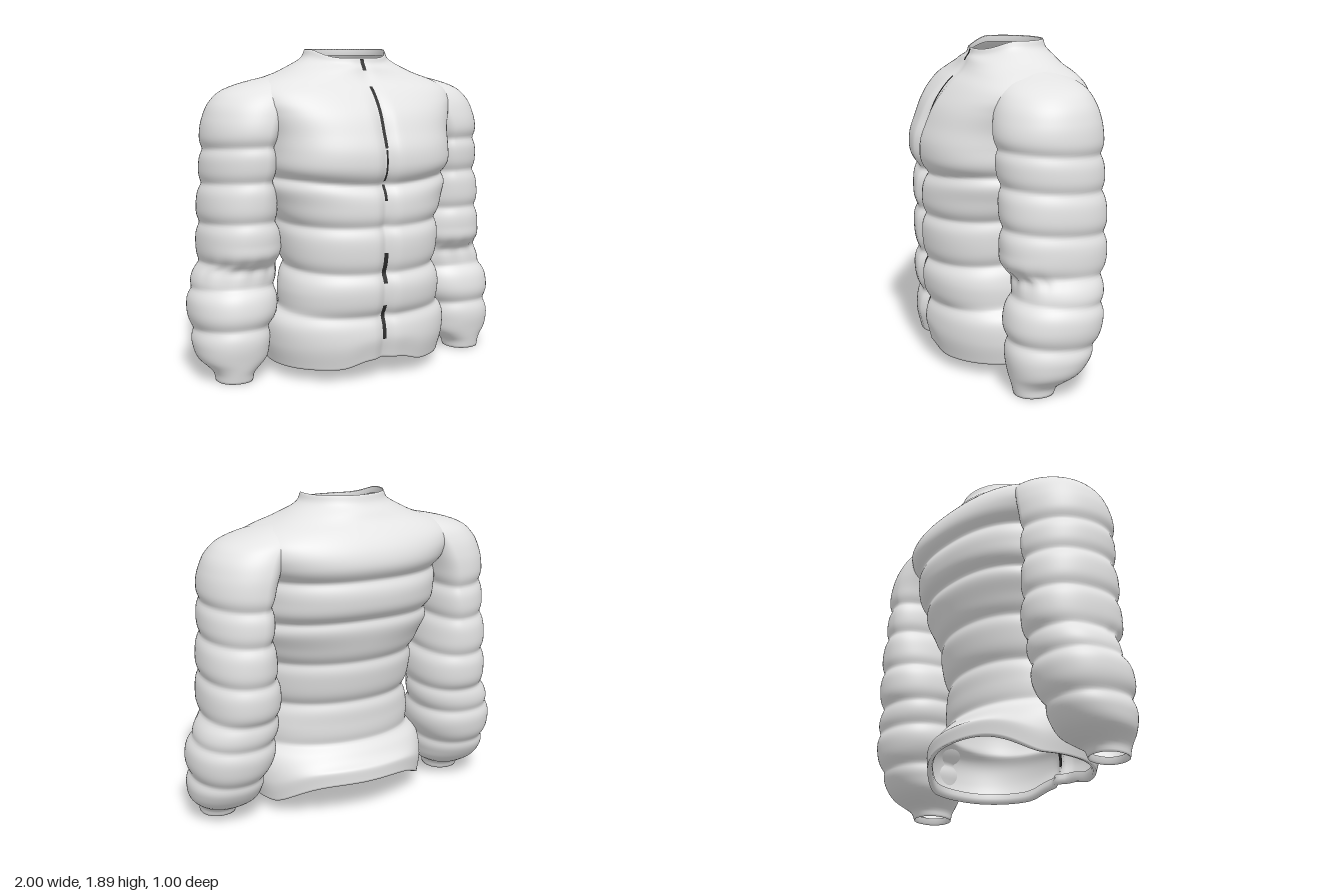
import * as THREE from 'three';

const fabric = new THREE.MeshStandardMaterial({ color: 0xe4e4e4, side: THREE.DoubleSide });
fabric.name = 'light grey fabric';
const dark = new THREE.MeshStandardMaterial({ color: 0x2c2c2c, side: THREE.DoubleSide });
dark.name = 'dark zipper';

// Smooth interpolation of sections: [y, a, b, c, ...]
function profile(keys) {
  const size = keys[0].length - 1;
  return new THREE.CubicInterpolant(
    new Float32Array(keys.map(k => k[0])),
    new Float32Array(keys.flatMap(k => k.slice(1))), size);
}

function surface(pos, index) {
  const g = new THREE.BufferGeometry();
  g.setAttribute('position', new THREE.Float32BufferAttribute(pos, 3));
  g.setIndex(index);
  g.computeVertexNormals();
  return g;
}

// Skin a surface through rows of points; point(row, angle) gives [x, y, z]
function loft(rows, segments, point) {
  const pos = [], index = [];
  rows.forEach((row, i) => {
    for (let j = 0; j < segments; j++) {
      pos.push(...point(row, (j / segments) * Math.PI * 2));
      if (i === 0) continue;
      const k = (j + 1) % segments, lo = (i - 1) * segments, hi = i * segments;
      index.push(lo + j, lo + k, hi + k, lo + j, hi + k, hi + j);
    }
  });
  return surface(pos, index);
}

// Rows [y, inset] from bottom to top, with turned-in edges at both ends
function rowsBetween(y0, y1, count, startRim, endRim) {
  const rows = [...startRim];
  for (let i = 0; i <= count; i++) rows.push([y0 + (y1 - y0) * i / count, 0]);
  return rows.concat(endRim);
}

const crease = (d, width) => Math.exp(-Math.pow(Math.abs(d) / width, 1.5));
const smooth = THREE.MathUtils.smoothstep;

// Rounded-square radius for an angle
const squircle = (s, c, n) => Math.pow(Math.abs(s) ** n + Math.abs(c) ** n, -1 / n);

// Torso: y, half width, front z, back z
const torsoShape = profile([
  [0.07, 0.535, 0.445, -0.40], [0.2, 0.562, 0.472, -0.395], [0.35, 0.55, 0.468, -0.33],
  [0.42, 0.508, 0.478, -0.295], [0.52, 0.498, 0.488, -0.285], [0.65, 0.482, 0.482, -0.298],
  [0.78, 0.492, 0.49, -0.325], [0.9, 0.505, 0.49, -0.352], [1.02, 0.532, 0.487, -0.385],
  [1.12, 0.565, 0.482, -0.42], [1.25, 0.575, 0.497, -0.465], [1.33, 0.575, 0.49, -0.478],
  [1.42, 0.585, 0.457, -0.485], [1.53, 0.625, 0.405, -0.503], [1.6, 0.65, 0.352, -0.487],
  [1.66, 0.635, 0.295, -0.452], [1.71, 0.555, 0.235, -0.407], [1.75, 0.437, 0.205, -0.362],
  [1.8, 0.335, 0.185, -0.325], [1.84, 0.27, 0.172, -0.29], [1.89, 0.245, 0.16, -0.272],
]);
const frontSeams = [0.37, 0.62, 0.89, 1.13, 1.45];
const backSeams = [0.41, 0.67, 0.93, 1.2, 1.44];

function torsoPoint([y, inset], angle) {
  const [halfWidth, front, back] = torsoShape.evaluate(y);
  const s = Math.sin(angle), c = Math.cos(angle);
  const toBack = (1 - c) / 2;
  let dip = inset;
  frontSeams.forEach((f, i) => {
    const chestRise = i === 3 && c > 0 ? 0.05 * s * s * c : 0;
    const seam = f + (backSeams[i] - f) * toBack + chestRise;
    const depth = i === 4 ? 0.032 * smooth(toBack, 0.55, 0.8) : i === 3 ? 0.036 : 0.026;
    dip += depth * crease(y - seam, 0.04);
  });
  // Round waist and collar, squarer chest and shoulder blades
  const chest = smooth(y, 1.0, 1.25) * (1 - smooth(y, 1.72, 1.83));
  const r = squircle(s, c, c > 0 ? 2.3 + 0.35 * chest - 0.25 * smooth(y, 1.72, 1.83) : 2.05 + 0.3 * chest);
  const mid = (front + back) / 2, depth = (front - back) / 2;
  const x = (halfWidth - dip) * s * r;
  let z = mid + (depth - dip) * c * r;
  // Groove along the front closure
  if (c > 0) z -= 0.04 * Math.exp(-((x / 0.04) ** 2)) * (1 - 0.8 * smooth(y, 1.4, 1.75));
  // Hem rises behind and at the centre front; the collar dips in front
  const hem = 1 - smooth(y, 0.1, 0.36);
  const hemLift = 0.125 * smooth(-z, 0.13, 0.4) + (c > 0 ? 0.045 * Math.exp(-((x / 0.2) ** 4)) : 0);
  const collarDip = 0.05 * smooth(y, 1.76, 1.89) * smooth(c, 0.1, 0.95);
  return [x, y + hem * hemLift - collarDip, z];
}

// Sleeve: y, inner x, outer x, front z, back z
const sleeveShape = profile([
  [0, 0.68, 0.89, 0.165, -0.06], [0.05, 0.665, 0.9, 0.175, -0.09], [0.08, 0.625, 0.925, 0.182, -0.15],
  [0.12, 0.575, 0.965, 0.19, -0.21], [0.2, 0.548, 0.988, 0.203, -0.275], [0.3, 0.525, 0.992, 0.205, -0.325],
  [0.4, 0.488, 1.0, 0.205, -0.352], [0.5, 0.478, 0.99, 0.185, -0.365], [0.6, 0.47, 0.952, 0.148, -0.37],
  [0.65, 0.465, 0.932, 0.15, -0.378], [0.69, 0.46, 0.925, 0.2, -0.39], [0.8, 0.46, 0.922, 0.21, -0.40],
  [1.0, 0.485, 0.918, 0.212, -0.402], [1.2, 0.5, 0.905, 0.218, -0.398], [1.4, 0.49, 0.9, 0.232, -0.395],
  [1.5, 0.46, 0.882, 0.222, -0.388], [1.6, 0.42, 0.832, 0.19, -0.362], [1.66, 0.38, 0.757, 0.15, -0.33],
  [1.7, 0.34, 0.64, 0.1, -0.285], [1.74, 0.3, 0.46, 0.01, -0.21],
]);
const sleeveSeams = [0.29, 0.52, 0.67, 0.9, 1.13, 1.33];

function sleevePoint([y, inset], angle, side) {
  const [inner, outer, front, back] = sleeveShape.evaluate(y);
  const s = Math.sin(angle), c = Math.cos(angle);
  // Upper arm is deepest near the body and tapers outward
  const upper = smooth(y, 0.7, 1.35);
  const r = squircle(s, c, 2.2 - 0.18 * upper);
  const pivot = inner + (outer - inner) * (0.5 - 0.18 * upper);
  const half = s * side > 0 ? outer - pivot : pivot - inner;
  // Seams sag slightly toward the back
  const sag = 0.02 * c;
  let dip = inset;
  for (const seam of sleeveSeams) dip += 0.022 * crease(y - seam - sag, 0.038);
  // Small gathers at the elbow
  dip += 0.006 * Math.sin(angle * 14) * crease(y - 0.65, 0.05) * smooth(c, 0, 0.6);
  const d = (front - back) / 2 - dip;
  return [side * pivot + (half - dip) * s * r, y, (front + back) / 2 + d * c * r];
}

// Thin strip lying along the front groove, offset outward or inward
function zipperStrip(y0, y1, halfWidth, offset) {
  const pos = [], index = [], n = 14;
  for (let i = 0; i <= n; i++) {
    const [, y, z] = torsoPoint([y0 + (y1 - y0) * i / n, 0], 0);
    pos.push(-halfWidth - 0.003, y, z + offset, halfWidth - 0.003, y, z + offset);
    if (i < n) index.push(2 * i, 2 * i + 1, 2 * i + 3, 2 * i, 2 * i + 3, 2 * i + 2);
  }
  return surface(pos, index);
}

export function createModel() {
  const jacket = new THREE.Group();
  jacket.name = 'quiltedJacket';
  const add = (name, geometry, material) => {
    const mesh = new THREE.Mesh(geometry, material);
    mesh.name = name;
    jacket.add(mesh);
  };

  // Body with turned hem and collar edge
  const bodyRows = rowsBetween(0.07, 1.89, 150,
    [[0.13, 0.035], [0.1, 0.032], [0.075, 0.02]], [[1.885, 0.008], [1.85, 0.014]]);
  add('body', loft(bodyRows, 128, torsoPoint), fabric);

  // Sleeves with open cuffs, closed under the shoulder yoke
  const sleeveRows = rowsBetween(0, 1.74, 130,
    [[0.04, 0.022], [0.01, 0.012]], [[1.745, 0.03], [1.747, 0.05]]);
  for (const [name, side] of [['leftSleeve', 1], ['rightSleeve', -1]]) {
    add(name, loft(sleeveRows, 64, (row, a) => sleevePoint(row, a, side)), fabric);
  }

  // Exposed lengths of the zipper, seen outside and inside
  const strips = [[0.2, 0.43, 0.012], [0.56, 0.74, 0.014], [1.04, 1.13, 0.009],
    [1.15, 1.33, 0.006], [1.34, 1.68, 0.01], [1.77, 1.885, 0.012]];
  strips.forEach(([y0, y1, w], i) => {
    add('zipper' + (i + 1), zipperStrip(y0, y1, w, 0.008), dark);
    add('zipperInside' + (i + 1), zipperStrip(y0, y1, w, -0.006), dark);
  });

  return jacket;
}
